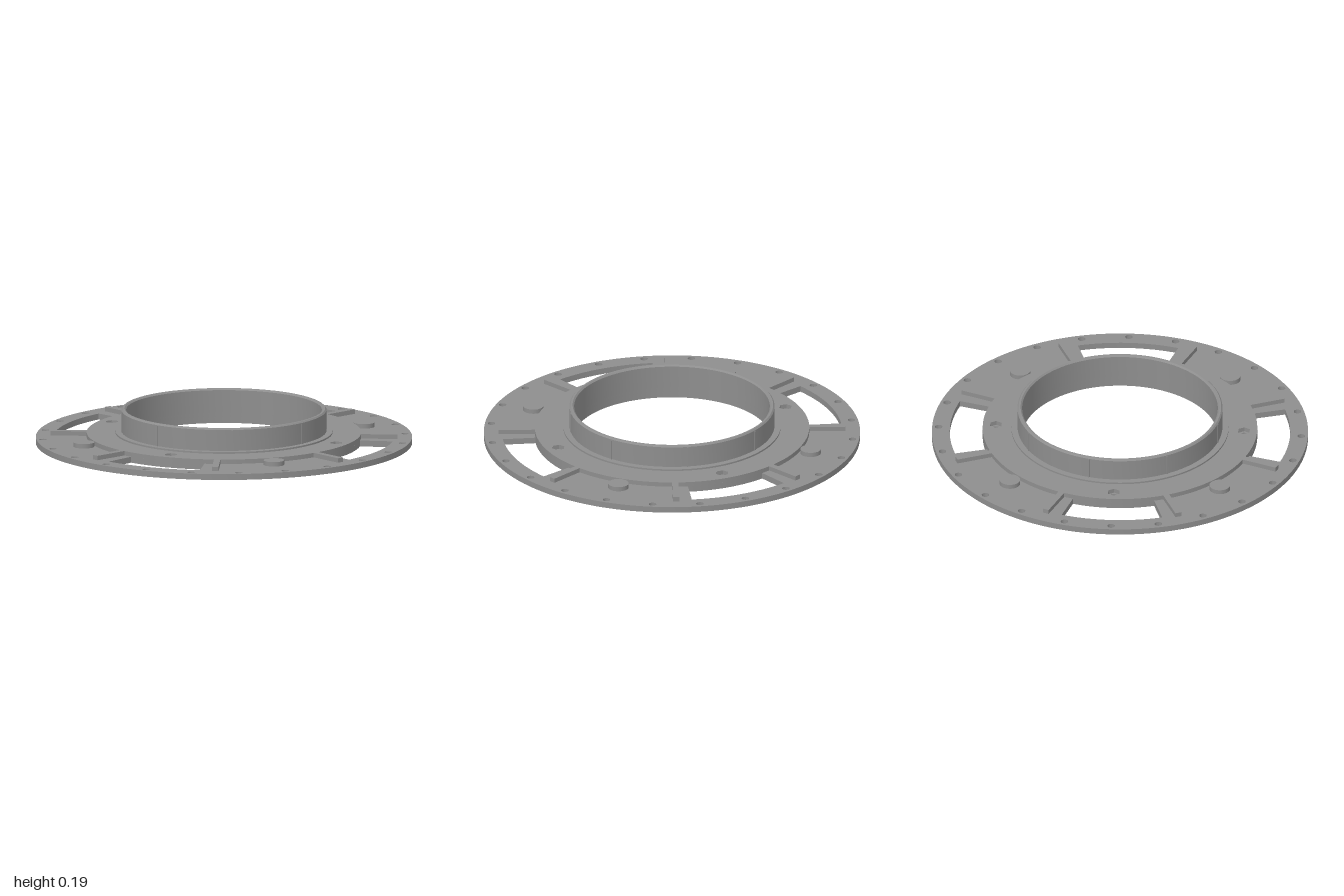
import * as THREE from 'three';
import { toCreasedNormals } from 'three/addons/utils/BufferGeometryUtils.js';

const metal = new THREE.MeshStandardMaterial({ color: 0x8e8e8e });
metal.name = 'grey metal';

const BORE = 0.52, RING = 0.73, PLATE_TOP = 0.032, RING_TOP = 0.056;

// points of an arc about (cx, cy)
function arc(r, from, to, n, cx = 0, cy = 0) {
  return Array.from({ length: n + 1 }, (_, i) => {
    const a = from + (to - from) * i / n;
    return new THREE.Vector2(cx + r * Math.cos(a), cy + r * Math.sin(a));
  });
}
const polygon = (r, n, cx = 0, cy = 0, start = 0) =>
  arc(r, start, start + 2 * Math.PI, n, cx, cy).slice(0, n);

// same outline placed on a circle of radius d
const around = (count, d, offset, make) =>
  Array.from({ length: count }, (_, i) => {
    const a = offset + i * 2 * Math.PI / count;
    return make(d * Math.cos(a), d * Math.sin(a), a);
  });

// flat slab with holes, standing from y0 to y1
function slab(outline, holes, y0, y1) {
  const shape = new THREE.Shape(outline);
  shape.holes = holes.map(h => new THREE.Path(h));
  const g = new THREE.ExtrudeGeometry(shape, { depth: y1 - y0, bevelEnabled: false });
  g.rotateX(-Math.PI / 2).translate(0, y0, 0);
  return toCreasedNormals(g, 0.5);
}

export function createModel() {
  const model = new THREE.Group();
  model.name = 'flange';
  const add = (name, geometry) => {
    const mesh = new THREE.Mesh(geometry, metal);
    mesh.name = name;
    model.add(mesh);
    return mesh;
  };

  // base plate: bore, four windows, rim bolt holes, screw holes and nut pockets
  const half = 0.3;
  const windows = around(4, 0, 0, (x, y, a) => [
    ...arc(0.905, a - half, a + half, 16),
    ...arc(RING, a + half, a - half, 16),
  ]);
  add('basePlate', slab(polygon(1, 128), [
    polygon(BORE, 128),
    ...windows,
    ...around(24, 0.965, 0, (x, y) => polygon(0.02, 16, x, y)),
    ...around(4, 0.66, 0, (x, y) => polygon(0.02, 16, x, y)),
    ...around(4, 0.79, Math.PI / 4, (x, y) => polygon(0.034, 6, x, y)),
  ], 0, PLATE_TOP));

  // raised ring with hexagonal screw recesses
  add('raisedRing', slab(polygon(RING, 128), [
    polygon(BORE, 128),
    ...around(4, 0.66, 0, (x, y) => polygon(0.035, 6, x, y)),
  ], PLATE_TOP, RING_TOP));

  // collar with a low foot and chamfered lip
  const profile = [
    [BORE, RING_TOP], [0.578, RING_TOP], [0.578, 0.065], [0.545, 0.065],
    [0.545, 0.178], [0.538, 0.186], [0.528, 0.186], [BORE, 0.178], [BORE, RING_TOP],
  ].map(p => new THREE.Vector2(...p));
  add('collar', toCreasedNormals(new THREE.LatheGeometry(profile, 128), 0.5));

  // thin upright ridges on the collar
  for (let i = 0; i < 8; i++) {
    const a = Math.PI / 6 + i * Math.PI / 4;
    const ridge = add('collarRidge', new THREE.BoxGeometry(0.008, 0.11, 0.008));
    ridge.position.set(0.545 * Math.sin(a), 0.12, 0.545 * Math.cos(a));
    ridge.rotation.y = a;
  }

  // radial ribs on both sides of each window
  for (let i = 0; i < 8; i++) {
    const a = Math.PI / 8 + i * Math.PI / 4;
    const rib = add('radialRib', new THREE.BoxGeometry(0.034, RING_TOP - PLATE_TOP, 0.2));
    rib.position.set(0.823 * Math.sin(a), (RING_TOP + PLATE_TOP) / 2, 0.823 * Math.cos(a));
    rib.rotation.y = a;
  }

  // round bosses closing the nut pockets
  around(4, 0.79, Math.PI / 4, (x, z) => {
    const boss = add('boss', new THREE.CylinderGeometry(0.055, 0.055, RING_TOP - PLATE_TOP, 32));
    boss.position.set(x, (RING_TOP + PLATE_TOP) / 2, z);
  });

  return model;
}
